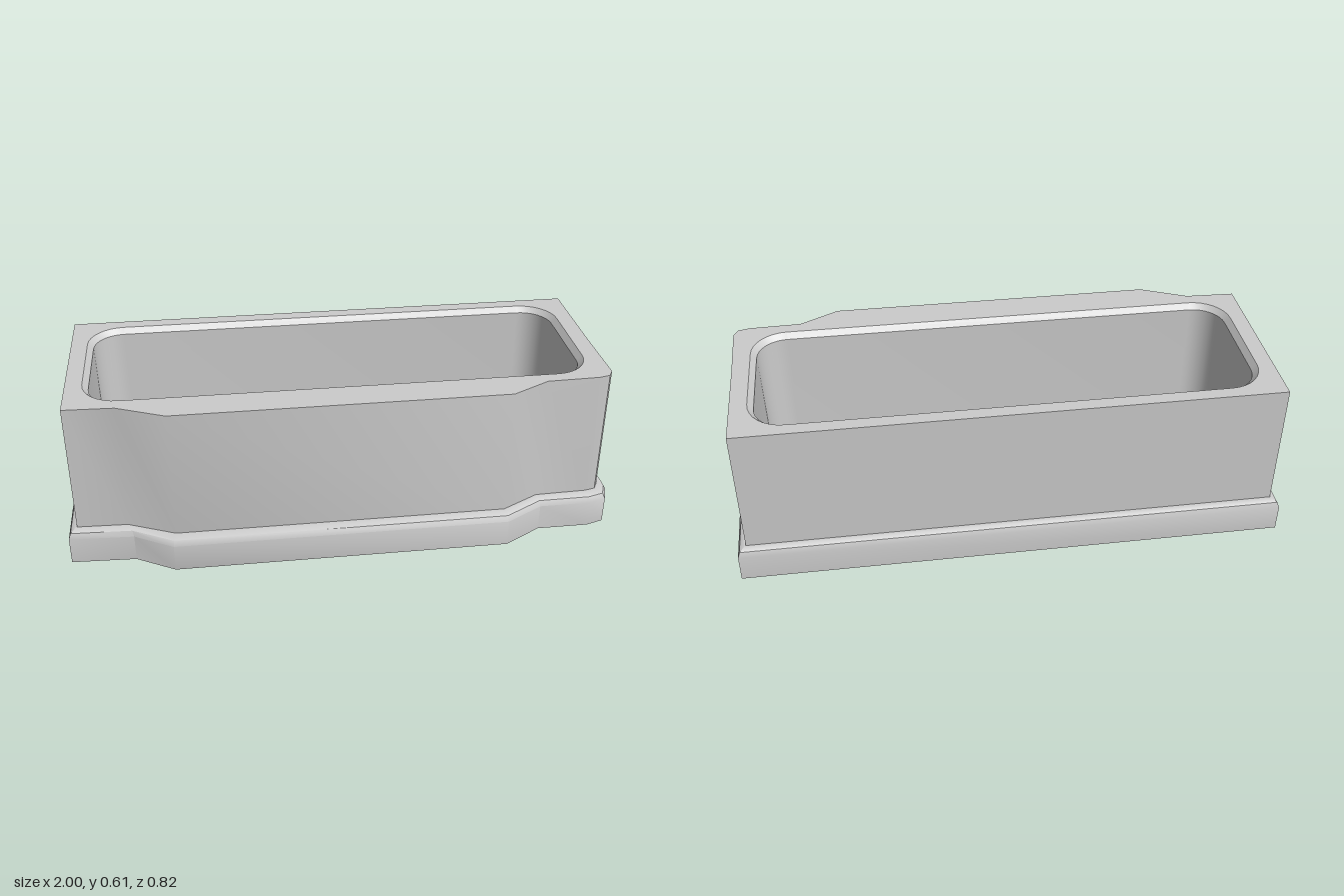
import * as THREE from 'three';
import { toCreasedNormals } from 'three/addons/utils/BufferGeometryUtils.js';

// Plan outlines as [x, z], matched point for point
const plinthPlan = [[-1, -0.41], [0.98, -0.41], [0.987, 0], [0.997, 0.25], [0.975, 0.31], [0.91, 0.33],
  [0.72, 0.33], [0.58, 0.41], [-0.63, 0.41], [-0.77, 0.33], [-1, 0.32]];
const wallPlan = [[-0.97, -0.38], [0.95, -0.38], [0.952, 0], [0.957, 0.25], [0.94, 0.28], [0.9, 0.29],
  [0.71, 0.295], [0.57, 0.37], [-0.62, 0.37], [-0.79, 0.295], [-0.97, 0.288]];
const HEIGHT = 0.61, FLOOR = 0.1;

const blend = t => plinthPlan.map(([x, z], i) =>
  [x + (wallPlan[i][0] - x) * t, z + (wallPlan[i][1] - z) * t]);

// Rounded rectangular basin opening, shrunk by an inset
function basinPlan(inset) {
  const r = 0.13 - inset, x0 = -0.91 + inset, x1 = 0.89 - inset, z0 = -0.33 + inset, z1 = 0.245 - inset;
  const corners = [[x0 + r, z0 + r, 2], [x1 - r, z0 + r, 3], [x1 - r, z1 - r, 0], [x0 + r, z1 - r, 1]];
  const points = [];
  for (const [cx, cz, quarter] of corners) {
    for (let i = 0; i <= 8; i++) {
      const a = (quarter + i / 8) * Math.PI / 2;
      points.push([cx + r * Math.cos(a), cz + r * Math.sin(a)]);
    }
  }
  return points;
}

// Skin through stacked closed loops, each given as { plan, y }
function loft(loops) {
  const n = loops[0].plan.length, position = [], index = [];
  for (const { plan, y } of loops) for (const [x, z] of plan) position.push(x, y, z);
  for (let k = 0; k < loops.length - 1; k++) {
    for (let i = 0; i < n; i++) {
      const a = k * n + i, b = k * n + (i + 1) % n;
      index.push(a, a + n, b + n, a, b + n, b);
    }
  }
  const geometry = new THREE.BufferGeometry();
  geometry.setAttribute('position', new THREE.Float32BufferAttribute(position, 3));
  geometry.setIndex(index);
  return toCreasedNormals(geometry, 0.6);
}

// Flat horizontal face, looking up or down
function cap(plan, y, up = true, hole = null) {
  const s = up ? -1 : 1;
  const points = p => p.map(([x, z]) => new THREE.Vector2(x, s * z));
  const shape = new THREE.Shape(points(plan));
  if (hole) shape.holes.push(new THREE.Path(points(hole)));
  return new THREE.ShapeGeometry(shape).rotateX(s * Math.PI / 2).translate(0, y, 0);
}

export function createModel() {
  const model = new THREE.Group();
  model.name = 'trough';
  const material = new THREE.MeshStandardMaterial({ color: 0xcccccc });
  const add = (name, geometry) => {
    const mesh = new THREE.Mesh(geometry, material);
    mesh.name = name;
    model.add(mesh);
  };

  // Plinth with a softened top edge
  add('plinth', loft([[0, 0], [0, 0.1], [0.25, 0.12], [0.8, 0.13], [1, 0.13]]
    .map(([t, y]) => ({ plan: blend(t), y }))));
  add('underside', cap(plinthPlan, 0, false));

  // Upright outer walls and the flat rim around the opening
  add('outerWalls', loft([{ plan: wallPlan, y: 0.13 }, { plan: wallPlan, y: HEIGHT }]));
  add('rim', cap(wallPlan, HEIGHT, true, basinPlan(0)));

  // Chamfered lip, slightly tapering inner walls and floor
  add('lip', loft([{ plan: basinPlan(0), y: HEIGHT }, { plan: basinPlan(0.02), y: HEIGHT - 0.02 }]));
  add('innerWalls', loft([{ plan: basinPlan(0.02), y: HEIGHT - 0.02 }, { plan: basinPlan(0.025), y: FLOOR + 0.02 },
    { plan: basinPlan(0.045), y: FLOOR }]));
  add('basinFloor', cap(basinPlan(0.045), FLOOR));

  return model;
}
